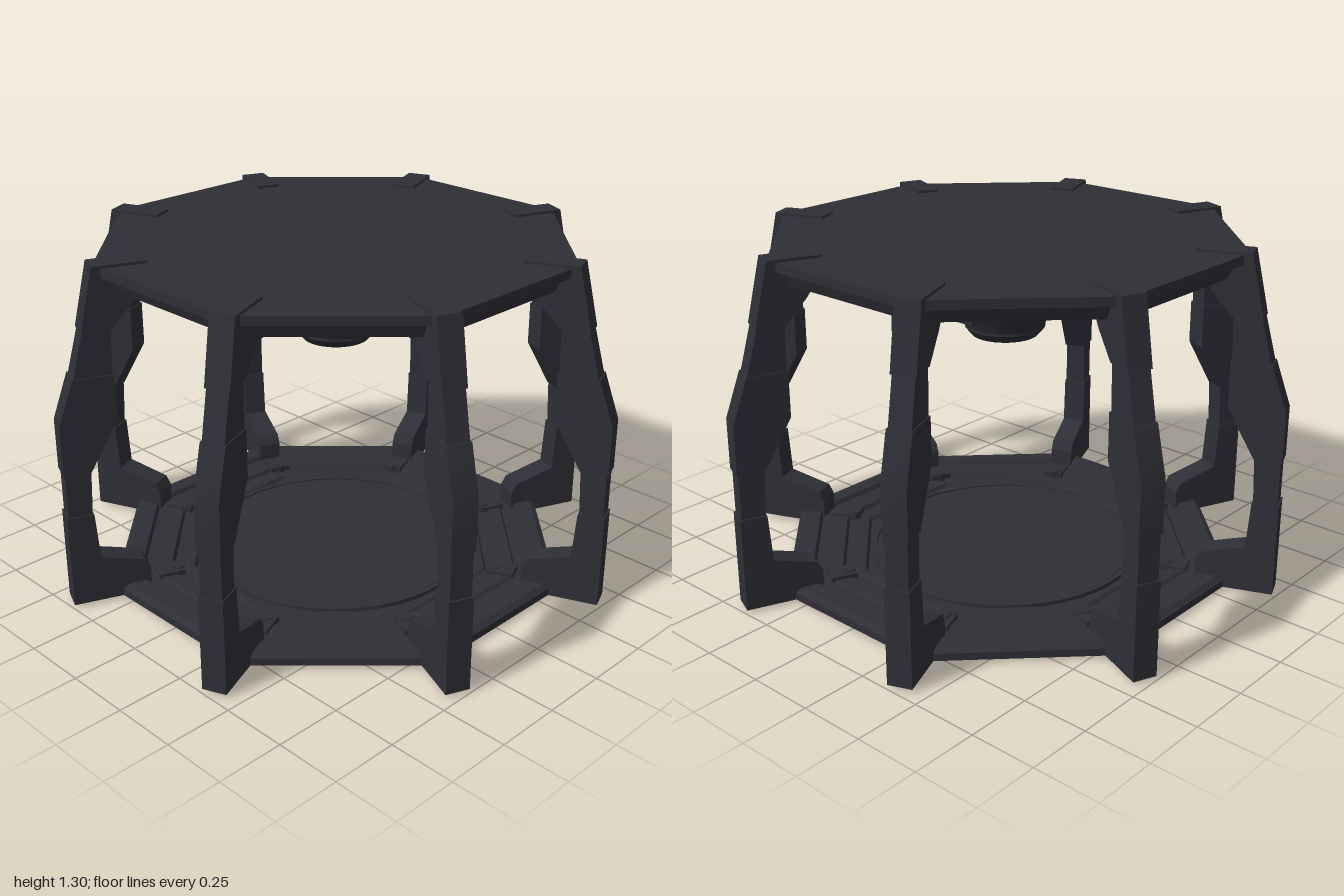
import * as THREE from 'three';
import { toCreasedNormals } from 'three/addons/utils/BufferGeometryUtils.js';

const body = new THREE.MeshStandardMaterial({ color: 0x2e2e36 });
body.name = 'dark slate';
const glass = new THREE.MeshStandardMaterial({ color: 0xf4f4ee });
glass.name = 'lens white';

function add(parent, name, geo, mat = body) {
  const mesh = new THREE.Mesh(toCreasedNormals(geo, 0.5), mat);
  mesh.name = name;
  parent.add(mesh);
  return mesh;
}

// Profile [radius, y] from the lower axis outwards and up; octagons have flats facing the axes
function lathe(points, sides) {
  return new THREE.LatheGeometry(points.map(p => new THREE.Vector2(...p)), sides, Math.PI / 8);
}

// Slab with a radial outline [r, y] and a tangential width
function slab(points, width) {
  const shape = new THREE.Shape(points.map(p => new THREE.Vector2(...p)));
  return new THREE.ExtrudeGeometry(shape, { depth: width, bevelEnabled: false }).translate(0, 0, -width / 2);
}

function createLeg() {
  const leg = new THREE.Group();
  // Foot with inward toe
  add(leg, 'foot', slab([[0.765, 0.012], [1.058, 0.012], [1.058, 0.37], [0.96, 0.37],
    [0.947, 0.19], [0.785, 0.145], [0.765, 0.11]], 0.09));
  add(leg, 'lowerJoint', slab([[0.965, 0.36], [1.052, 0.36], [1.052, 0.55], [0.957, 0.55]], 0.08));
  add(leg, 'shin', slab([[0.957, 0.54], [1.058, 0.54], [1.058, 0.73], [1.0, 0.9], [0.852, 0.9], [0.852, 0.73]], 0.09));
  add(leg, 'upperJoint', slab([[0.856, 0.89], [0.998, 0.89], [0.95, 1.075], [0.852, 1.075]], 0.08));
  // Upper arm that clips over the roof
  add(leg, 'arm', slab([[0.85, 1.065], [0.957, 1.065], [0.905, 1.298], [0.71, 1.298],
    [0.71, 1.27], [0.74, 1.2], [0.77, 1.155]], 0.09));
  // Fixings on floor and ceiling beside each leg
  for (const [name, y] of [['floorBolt', 0.052], ['ceilingBolt', 1.205]]) {
    add(leg, name + 'Plate', new THREE.BoxGeometry(0.1, 0.02, 0.08).translate(0.68, y, 0));
    add(leg, name, new THREE.CylinderGeometry(0.025, 0.025, 0.03, 12).translate(0.65, y, 0));
  }
  add(leg, 'footPad', new THREE.BoxGeometry(0.07, 0.016, 0.05).translate(0.65, 0.008, 0));
  return leg;
}

function createCamera() {
  const cam = new THREE.Group();
  add(cam, 'housing', lathe([[0, 0.93], [0.145, 0.93], [0.16, 0.975], [0.187, 1.01], [0.198, 1.05],
    [0.2, 1.09], [0.196, 1.13], [0.18, 1.175], [0.13, 1.195], [0.13, 1.24]], 40));
  add(cam, 'mountRing', new THREE.CylinderGeometry(0.17, 0.19, 0.03, 32).translate(0, 1.19, 0));
  // Lens collar with a ring of small teeth
  add(cam, 'collar', lathe([[0.088, 0.94], [0.088, 0.905], [0.125, 0.905], [0.15, 0.935], [0.15, 0.95]], 40));
  add(cam, 'lens', new THREE.CylinderGeometry(0.09, 0.09, 0.008, 32).translate(0, 0.916, 0), glass);
  for (let i = 0; i < 24; i++) {
    const tooth = add(cam, 'collarTooth', new THREE.BoxGeometry(0.02, 0.012, 0.012).translate(0.088, 0.907, 0));
    tooth.rotation.y = i * Math.PI / 12;
  }
  // Round knobs on the front and left sides
  for (const turn of [0, -Math.PI / 2]) {
    const knob = new THREE.Group();
    knob.name = 'knob';
    knob.rotation.y = turn;
    add(knob, 'knobBase', new THREE.CylinderGeometry(0.065, 0.07, 0.05, 20).rotateZ(-Math.PI / 2).translate(0.19, 1.085, 0));
    add(knob, 'knobCap', new THREE.CylinderGeometry(0.045, 0.045, 0.07, 20).rotateZ(-Math.PI / 2).translate(0.216, 1.085, 0));
    cam.add(knob);
  }
  // Rear box and curved plates between the knobs
  add(cam, 'rearBox', new THREE.BoxGeometry(0.14, 0.16, 0.1).translate(0, 1.085, -0.205));
  add(cam, 'rearBoxCap', new THREE.BoxGeometry(0.09, 0.1, 0.02).translate(0, 1.085, -0.258));
  for (const a of [0.2, 0.7, 1.2, 1.5, 1.8]) {
    add(cam, 'sidePlate', new THREE.CylinderGeometry(0.207, 0.207, 0.11, 8, 1, false, a * Math.PI - 0.3, 0.6)
      .translate(0, 1.085, 0));
  }
  return cam;
}

export function createModel() {
  const model = new THREE.Group();
  model.name = 'octagonalPavilion';

  // Stepped octagonal floor with a round centre
  add(model, 'floor', lathe([[0, 0.012], [0.893, 0.012], [0.893, 0.04], [0.87, 0.056], [0.8, 0.056],
    [0.79, 0.04], [0.74, 0.04], [0.73, 0.05], [0.68, 0.05], [0.67, 0.035], [0.62, 0.035],
    [0.61, 0.045], [0.585, 0.045], [0.575, 0.032], [0, 0.032]], 8));
  add(model, 'floorDisc', new THREE.CylinderGeometry(0.5, 0.5, 0.014, 64).translate(0, 0.036, 0));
  add(model, 'floorDiscRing', lathe([[0.505, 0.03], [0.525, 0.03], [0.525, 0.046], [0.505, 0.046], [0.505, 0.03]], 64));

  // Octagonal roof with a stepped ceiling
  add(model, 'roof', lathe([[0, 1.235], [0.62, 1.235], [0.63, 1.215], [0.68, 1.215], [0.69, 1.23],
    [0.74, 1.23], [0.75, 1.2], [0.84, 1.2], [0.86, 1.245], [0.893, 1.255], [0.893, 1.288], [0, 1.288]], 8));

  // Eight legs at the corners
  for (let i = 0; i < 8; i++) {
    const leg = createLeg();
    leg.name = 'leg';
    leg.rotation.y = Math.PI / 8 + i * Math.PI / 4;
    model.add(leg);
  }

  const cam = createCamera();
  cam.name = 'ceilingProjector';
  model.add(cam);

  // Small ceiling pods
  for (const [x, z] of [[0.48, -0.02], [-0.13, 0.49]]) {
    add(model, 'podBase', new THREE.CylinderGeometry(0.06, 0.06, 0.06, 20).translate(x, 1.21, z));
    add(model, 'podCap', new THREE.CylinderGeometry(0.045, 0.038, 0.03, 20).translate(x, 1.17, z));
  }
  return model;
}
